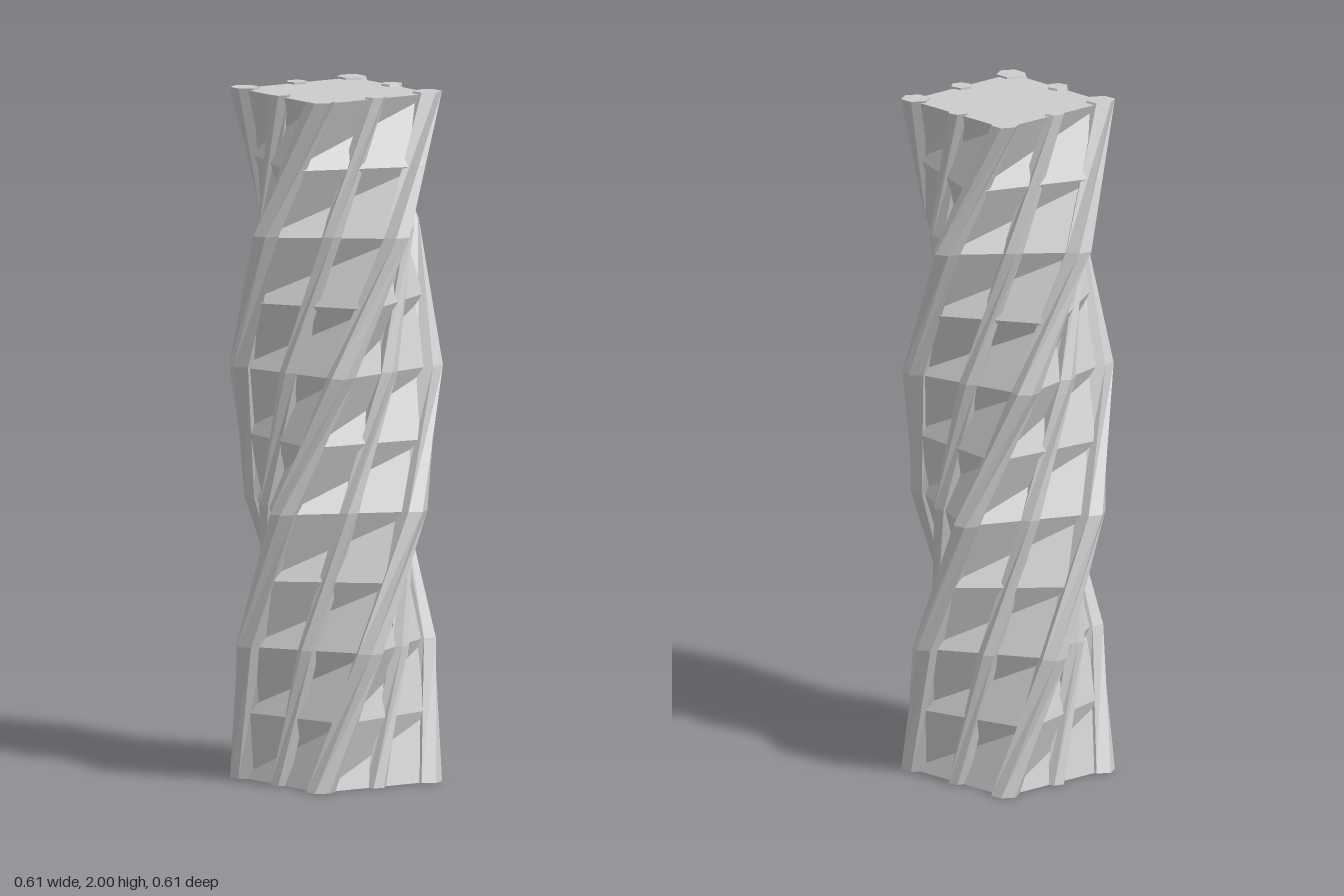
import * as THREE from 'three';

const HEIGHT = 2;
const material = new THREE.MeshStandardMaterial({ color: 0xcccccc, flatShading: true });

// Turn every vertex about the vertical axis: half a turn in all, slightly slower near the base
function twist(geometry) {
  const p = geometry.attributes.position;
  const axis = new THREE.Vector3(0, 1, 0);
  const v = new THREE.Vector3();
  for (let i = 0; i < p.count; i++) {
    v.fromBufferAttribute(p, i);
    const t = THREE.MathUtils.clamp(v.y / HEIGHT, 0, 1);
    v.applyAxisAngle(axis, Math.PI * Math.pow(t, 1.1));
    p.setXYZ(i, v.x, v.y, v.z);
  }
  geometry.computeVertexNormals();
  return geometry;
}

// Six-sided rib standing at (x, z), then twisted with the tower
function rib(name, radius, height, x, z, spin) {
  const geometry = new THREE.CylinderGeometry(radius, radius, height, 6, 5);
  geometry.rotateY(spin).translate(x, height / 2, z);
  const mesh = new THREE.Mesh(twist(geometry), material);
  mesh.name = name;
  return mesh;
}

export function createModel() {
  const group = new THREE.Group();
  group.name = 'twistedTower';

  // Square core
  const coreHeight = HEIGHT - 0.006;
  const coreGeometry = new THREE.BoxGeometry(0.4, coreHeight, 0.4, 1, 10, 1);
  coreGeometry.translate(0, coreHeight / 2, 0);
  const core = new THREE.Mesh(twist(coreGeometry), material);
  core.name = 'core';
  group.add(core);

  // Thick ribs on the corners, thin ribs along the middle of each face
  for (let i = 0; i < 4; i++) {
    const a = (i * Math.PI) / 2;
    const corner = a + Math.PI / 4;
    group.add(rib('cornerRib', 0.042, HEIGHT, 0.266 * Math.sin(corner), 0.266 * Math.cos(corner), 0));
    group.add(rib('faceRib', 0.031, HEIGHT, 0.196 * Math.sin(a), 0.196 * Math.cos(a), 0.22));
  }
  return group;
}
